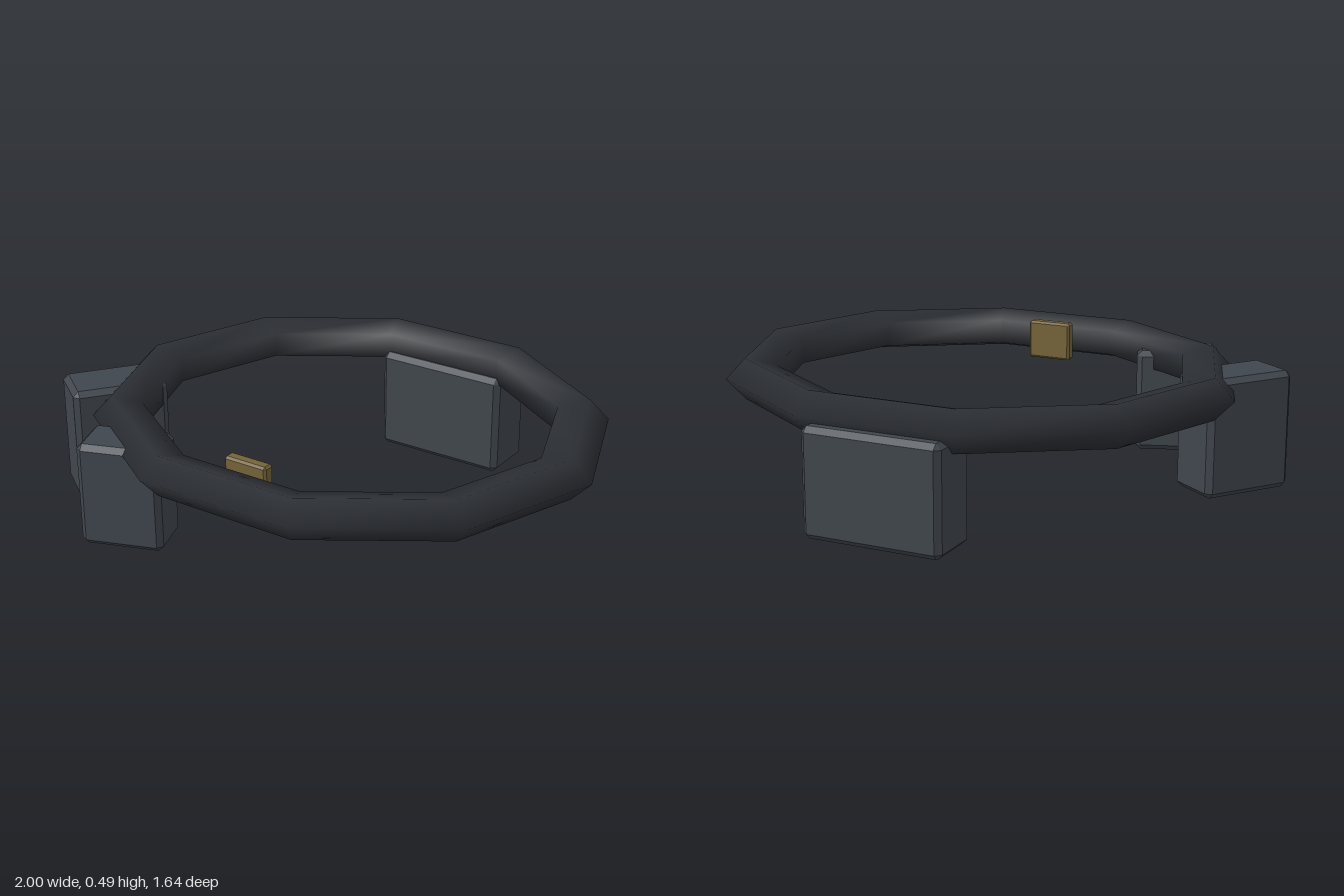
import * as THREE from 'three';
import { ConvexGeometry } from 'three/addons/geometries/ConvexGeometry.js';

// Box with every edge chamfered by b
function chamferBox(w, h, d, b) {
  const half = [w / 2, h / 2, d / 2];
  const points = [];
  for (const sx of [-1, 1]) for (const sy of [-1, 1]) for (const sz of [-1, 1]) {
    for (let axis = 0; axis < 3; axis++) {
      const p = half.map((v, i) => (i === axis ? v : v - b));
      points.push(new THREE.Vector3(p[0] * sx, p[1] * sy, p[2] * sz));
    }
  }
  return new ConvexGeometry(points);
}

export function createModel() {
  const group = new THREE.Group();
  const strapMaterial = new THREE.MeshStandardMaterial({ color: 0x2b2e33 });
  const pouchMaterial = new THREE.MeshStandardMaterial({ color: 0x40464d, flatShading: true });
  const buckleMaterial = new THREE.MeshStandardMaterial({ color: 0x75633a, flatShading: true });

  const add = (name, geometry, material, x, y, z, turn = 0) => {
    const mesh = new THREE.Mesh(geometry, material);
    mesh.name = name;
    mesh.position.set(x, y, z);
    mesh.rotation.y = turn;
    group.add(mesh);
    return mesh;
  };

  // Belt: ten-sided oval loop with a five-sided section
  const beltGeometry = new THREE.TorusGeometry(0.85, 0.105, 5, 10);
  beltGeometry.scale(1, 0.889, 0.751);
  beltGeometry.rotateX(Math.PI / 2);
  add('belt', beltGeometry, strapMaterial, 0.043, 0.415, 0.012);

  // Pouches hanging from the belt
  add('backPouch', chamferBox(0.52, 0.39, 0.215, 0.02), pouchMaterial, 0.04, 0.195, -0.717);
  add('sidePouch', chamferBox(0.35, 0.43, 0.213, 0.02), pouchMaterial, -0.822, 0.243, 0.282, 0.94);
  add('frontPouch', chamferBox(0.30, 0.385, 0.193, 0.02), pouchMaterial, -0.478, 0.243, 0.627, 0.35);

  // Buckle just inside the front of the belt
  add('buckle', chamferBox(0.17, 0.145, 0.045, 0.008), buckleMaterial, 0.04, 0.415, 0.61);

  return group;
}
